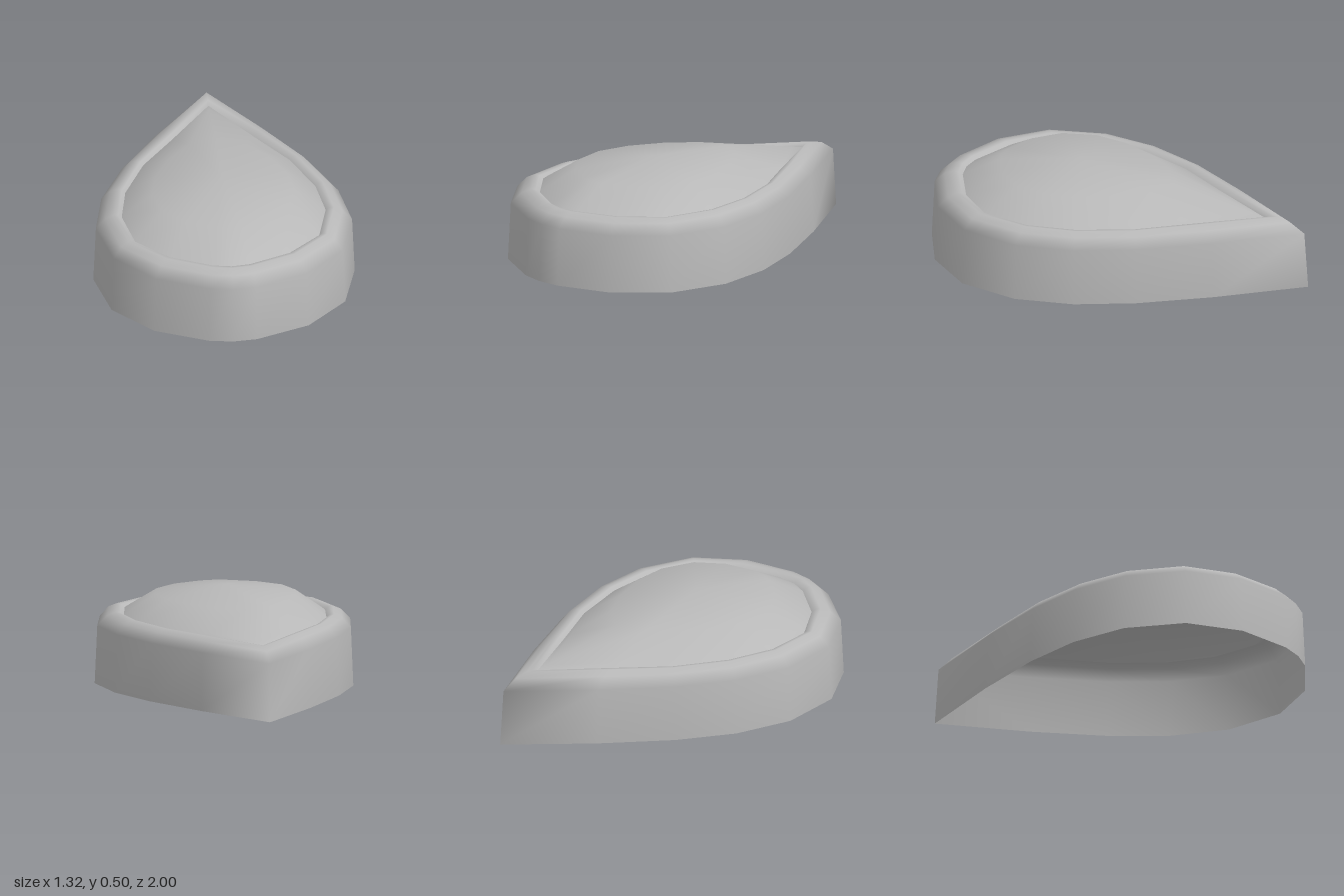
import * as THREE from 'three';

// Half outlines from the rear tip round to the front, as [x, z]
const baseLine = [[0, -1], [0.28, -0.6], [0.485, -0.26], [0.61, 0.03], [0.66, 0.33], [0.59, 0.64], [0.39, 0.865], [0.12, 0.985], [0, 1]];
const seatLine = [[0, -0.77], [0.21, -0.44], [0.37, -0.2], [0.48, 0.07], [0.515, 0.31], [0.465, 0.56], [0.3, 0.73], [0.09, 0.83], [0, 0.845]];
const crownLine = [[0, -0.28], [0.14, -0.2], [0.25, -0.06], [0.33, 0.11], [0.36, 0.28], [0.32, 0.45], [0.21, 0.57], [0.065, 0.64], [0, 0.65]];

const mix = (a, b, t) => a.map((p, i) => [p[0] + (b[i][0] - p[0]) * t, p[1] + (b[i][1] - p[1]) * t]);

// Mirror a half outline into a closed ring at height y
function ring(half, y) {
  const mirrored = half.slice(1, -1).reverse().map(([x, z]) => [-x, z]);
  return [...half, ...mirrored].map(([x, z]) => [x, y, z]);
}

// Smooth skin through the rings, with an optional closing point
function loft(rings, apex) {
  const n = rings[0].length;
  const index = [];
  for (let r = 0; r < rings.length - 1; r++) {
    for (let i = 0; i < n; i++) {
      const a = r * n + i, b = r * n + (i + 1) % n;
      index.push(a, a + n, b, b, a + n, b + n);
    }
  }
  const points = rings.flat();
  if (apex) {
    const start = (rings.length - 1) * n;
    for (let i = 0; i < n; i++) index.push(start + i, points.length, start + (i + 1) % n);
    points.push(apex);
  }
  const geometry = new THREE.BufferGeometry();
  geometry.setAttribute('position', new THREE.Float32BufferAttribute(points.flat(), 3));
  geometry.setIndex(index);
  geometry.computeVertexNormals();
  return geometry;
}

export function createModel() {
  const group = new THREE.Group();
  group.name = 'teardropCabochon';
  const grey = new THREE.MeshStandardMaterial({ color: 0xb8b8b8, side: THREE.DoubleSide });
  grey.name = 'grey';

  // Open-bottomed wall with a rolled rim
  const profile = [[0, 0], [0.09, 0.295], [0.42, 0.345], [0.72, 0.363], [0.87, 0.36], [1, 0.345]];
  const bezel = new THREE.Mesh(loft(profile.map(([t, y]) => ring(mix(baseLine, seatLine, t), y))), grey);
  bezel.name = 'bezel';

  // Domed stone
  const stone = new THREE.Mesh(loft([
    ring(seatLine, 0.345),
    ring(mix(seatLine, crownLine, 0.14), 0.362),
    ring(crownLine, 0.456),
  ], [0, 0.505, 0.23]), grey);
  stone.name = 'stone';

  group.add(bezel, stone);
  return group;
}
